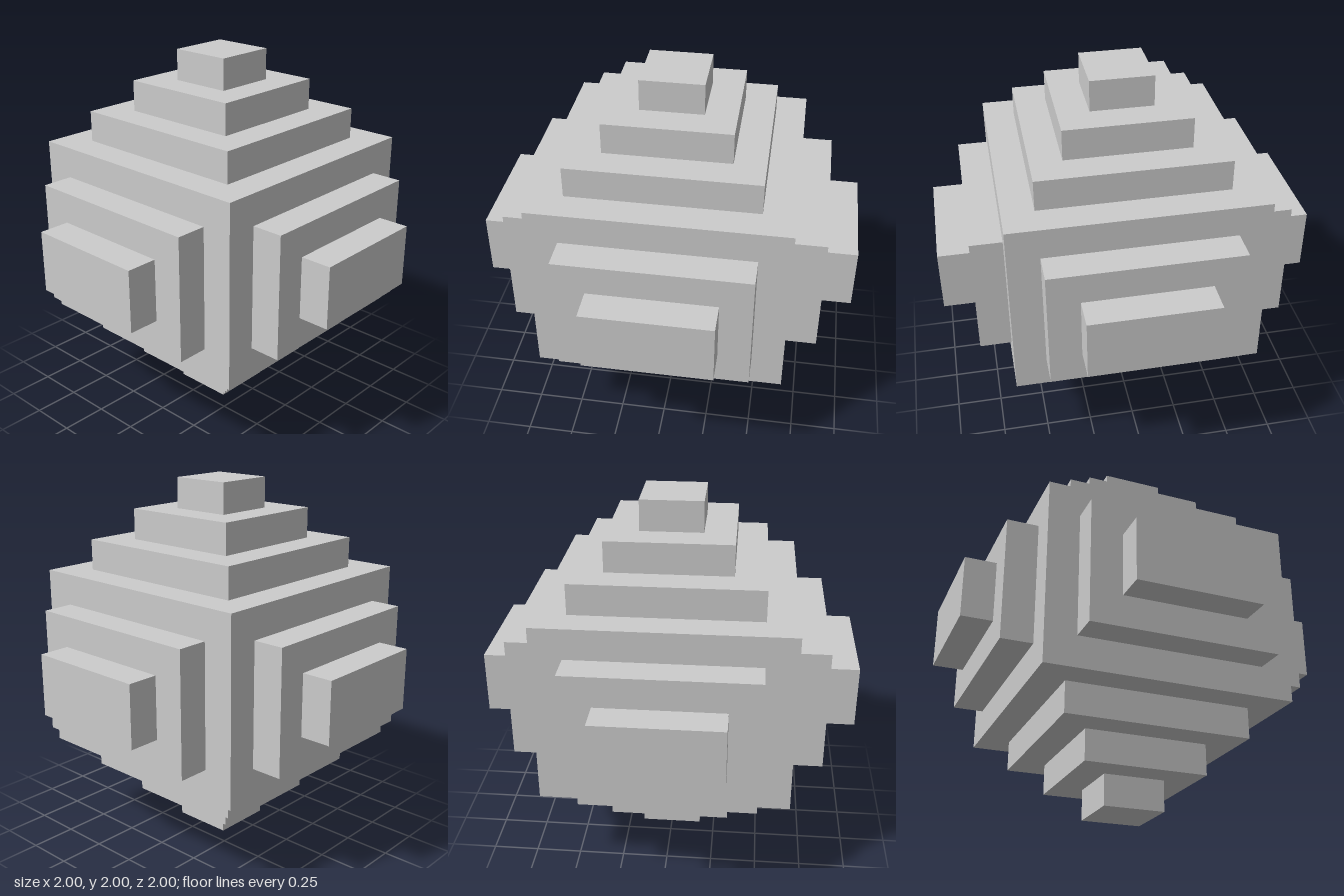
import * as THREE from 'three';

const U = 1 / 6; // one step of the terraced block

export function createModel() {
  const model = new THREE.Group();
  const material = new THREE.MeshStandardMaterial({ color: 0xcccccc, flatShading: true });

  // Box sized and placed in step units
  function block(name, size, position, parent) {
    const mesh = new THREE.Mesh(new THREE.BoxGeometry(...size.map((s) => s * U)), material);
    mesh.position.set(...position.map((p) => p * U));
    mesh.name = name;
    parent.add(mesh);
  }

  // Central block
  block('core', [8, 6, 8], [0, 6, 0], model);

  // Square stepped pyramids above and below
  for (const [name, dir] of [['topSteps', 1], ['bottomSteps', -1]]) {
    const steps = new THREE.Group();
    steps.name = name;
    for (let i = 0; i < 3; i++) {
      const width = 6 - 2 * i;
      block(`step${i + 1}`, [width, 1, width], [0, 6 + dir * (3.5 + i), 0], steps);
    }
    model.add(steps);
  }

  // Two raised rectangular panels on each of the four sides
  ['frontSteps', 'leftSteps', 'backSteps', 'rightSteps'].forEach((name, side) => {
    const steps = new THREE.Group();
    steps.name = name;
    for (let i = 0; i < 2; i++) {
      block(`step${i + 1}`, [6 - 2 * i, 4 - 2 * i, 1], [0, 6, 4.5 + i], steps);
    }
    steps.rotation.y = side * Math.PI / 2;
    model.add(steps);
  });

  return model;
}
